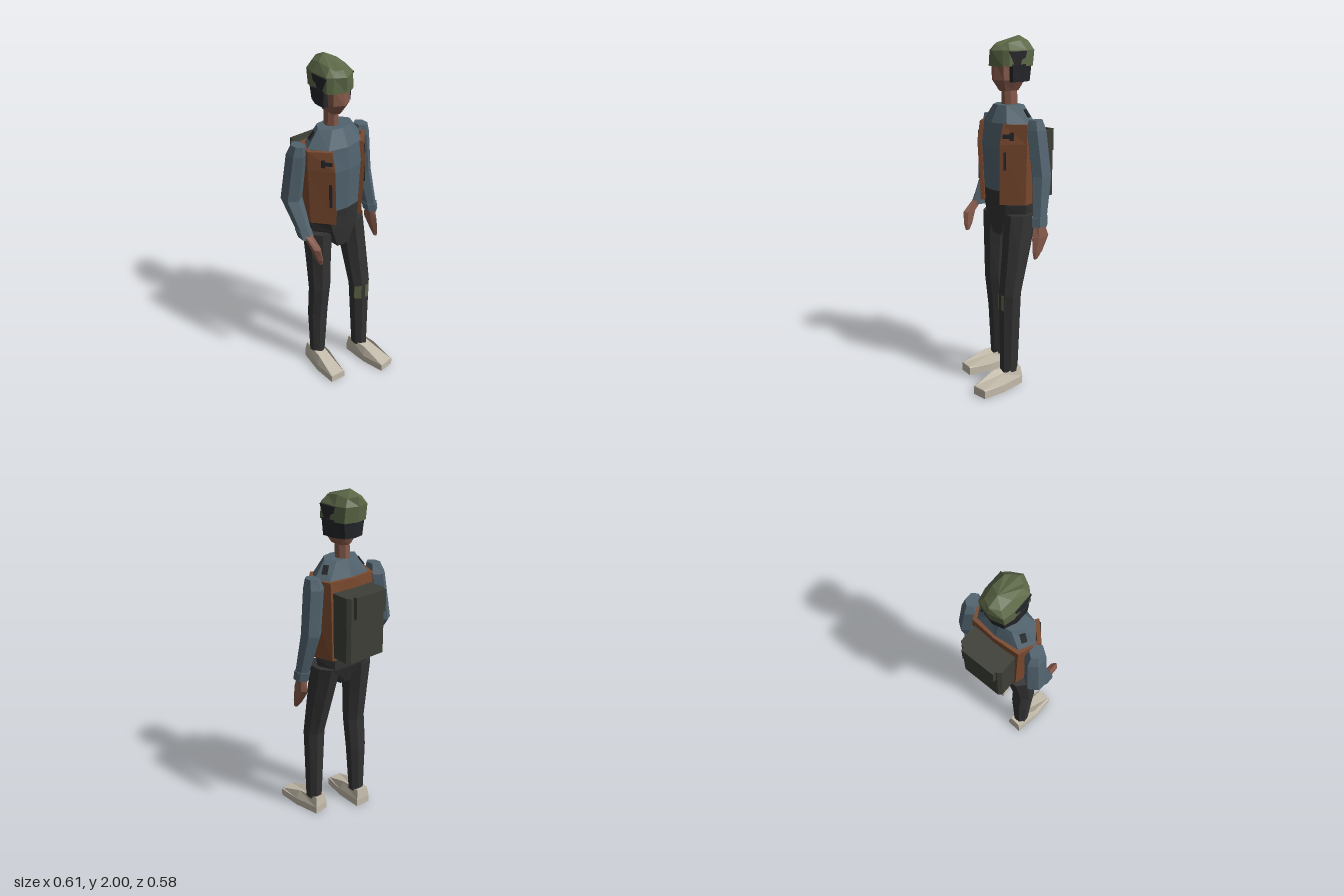
import * as THREE from 'three';
import { mergeGeometries } from 'three/addons/utils/BufferGeometryUtils.js';

const mat = (name, color) => {
  const m = new THREE.MeshStandardMaterial({ color });
  m.name = name;
  return m;
};

// Faceted skin through rings of [x, y, z], listed from bottom to top, with end caps
function loft(rings) {
  const p = [], n = rings[0].length;
  const tri = (a, b, c) => p.push(...a, ...b, ...c);
  for (let r = 0; r < rings.length - 1; r++) {
    const b = rings[r], t = rings[r + 1];
    for (let i = 0; i < n; i++) {
      const j = (i + 1) % n;
      tri(b[i], t[i], t[j]);
      tri(b[i], t[j], b[j]);
    }
  }
  const lo = rings[0], hi = rings[rings.length - 1];
  for (let i = 1; i < n - 1; i++) {
    tri(lo[0], lo[i], lo[i + 1]);
    tri(hi[0], hi[i + 1], hi[i]);
  }
  const g = new THREE.BufferGeometry();
  g.setAttribute('position', new THREE.Float32BufferAttribute(p, 3));
  g.computeVertexNormals();
  return g;
}

// Mirrored ring: half outline of [dx, z, own y], listed from back to front
function hull(cx, y, half) {
  const right = half.map(([x, z, h]) => [cx + x, h ?? y, z]);
  const left = half.filter(q => q[0] > 0).reverse().map(([x, z, h]) => [cx - x, h ?? y, z]);
  return [...right, ...left];
}

// Limb from [y, cx, cz, rx, rz] sections, flat face to the front
function limb(sections, n = 8) {
  const k = 1 / Math.cos(Math.PI / n);
  return loft(sections.map(([y, cx, cz, rx, rz]) => Array.from({ length: n }, (_, i) => {
    const a = (i + 0.5) / n * Math.PI * 2;
    return [cx + rx * k * Math.cos(a), y, cz + rz * k * Math.sin(a)];
  })));
}

export function createModel() {
  const model = new THREE.Group();
  const green = mat('capGreen', 0x5c6847), skin = mat('skin', 0x85594a),
    blue = mat('shirtBlue', 0x52646f), rust = mat('vestRust', 0x7a4a2f),
    dark = mat('trouserCharcoal', 0x343333), black = mat('trimBlack', 0x25262a),
    pack = mat('packOlive', 0x3d3f37), cream = mat('shoeCream', 0xc4bcab);
  const add = (name, geometry, material) => {
    const m = new THREE.Mesh(geometry, material);
    m.name = name;
    model.add(m);
    return m;
  };
  const plate = (name, material, size, pos, rot = [0, 0, 0]) => {
    const m = add(name, new THREE.BoxGeometry(...size), material);
    m.position.set(...pos);
    m.rotation.set(...rot);
  };
  const CX = -0.01, HX = -0.014;

  // Head, neck, hair and cap
  add('neck', limb([[1.6, -0.017, -0.055, 0.038, 0.044], [1.72, -0.017, -0.05, 0.036, 0.044]]), skin);
  add('head', loft([
    hull(HX, 1.7, [[0, -0.105], [0.03, -0.09], [0.036, -0.04], [0.03, 0], [0, 0.015]]),
    hull(HX, 1.76, [[0, -0.13], [0.06, -0.11], [0.07, -0.04], [0.055, 0.03], [0, 0.058]]),
    hull(HX, 1.85, [[0, -0.14], [0.07, -0.12], [0.08, -0.04], [0.055, 0.035], [0, 0.052]]),
  ]), skin);
  add('hair', loft([
    hull(HX, 1.75, [[0, -0.16], [0.06, -0.145], [0.088, -0.08], [0.09, -0.005]]),
    hull(HX, 1.845, [[0, -0.168], [0.07, -0.15], [0.096, -0.08], [0.096, 0]]),
  ]), black);
  add('cap', loft([
    hull(HX, 1.835, [[0, -0.175], [0.075, -0.155], [0.09, -0.1], [0.09, 0.02], [0.065, 0.045], [0, 0.07]]),
    hull(HX, 1.92, [[0, -0.185], [0.075, -0.165], [0.09, -0.1], [0.088, 0.015], [0.06, 0.042], [0, 0.075]]),
    hull(HX, 1.96, [[0, -0.178, 1.97], [0.05, -0.15], [0.058, -0.08, 1.972], [0.055, 0], [0.038, 0.025, 1.947], [0, 0.045, 1.952]]),
    hull(HX, 2, Array.from({ length: 6 }, (_, i) => [i % 5 ? 1e-4 : 0, -0.115])),
  ]), green);
  const patch = new THREE.ExtrudeGeometry(new THREE.Shape([
    [-0.02, 1.915], [0.02, 1.835], [0.055, 1.835], [0.065, 1.87], [0.09, 1.88], [0.1, 1.915],
  ].map(q => new THREE.Vector2(...q)).reverse()), { depth: 0.008, bevelEnabled: false });
  patch.rotateY(Math.PI / 2);
  for (const s of [1, -1]) add('capSidePatch', patch, black).position.x = HX + s * 0.089 - 0.004;

  // Shirt and trouser top
  const waist = [[0, -0.13], [0.11, -0.12], [0.155, -0.03], [0.1, 0.06], [0, 0.075]];
  add('shirt', loft([
    hull(CX, 1.15, waist),
    hull(CX, 1.4, [[0, -0.135], [0.13, -0.125], [0.172, -0.03], [0.11, 0.07], [0, 0.09]]),
    hull(CX, 1.53, [[0, -0.135], [0.135, -0.12], [0.18, -0.04], [0.11, 0.055], [0, 0.08]]),
    hull(CX, 1.625, [[0, -0.105], [0.07, -0.095], [0.11, -0.04], [0.06, 0.02], [0, 0.035]]),
  ]), blue);
  add('hips', loft([
    hull(CX, 0.89, [[0, -0.1], [0.036, -0.09], [0.045, -0.03], [0.04, 0.04], [0, 0.045]]),
    hull(CX, 1.01, [[0, -0.145], [0.12, -0.14], [0.16, -0.04], [0.085, 0.052], [0, 0.06]]),
    hull(CX, 1.07, [[0, -0.145], [0.12, -0.14], [0.17, -0.04], [0.1, 0.055], [0, 0.065]]),
    hull(CX, 1.15, waist),
  ]), dark);

  // Open vest: wall segments from the middle of the back to each front edge
  const levels = [
    [1.08, [[0, -0.15], [0.145, -0.15], [0.185, -0.02], [0.09, 0.09]]],
    [1.42, [[0, -0.15], [0.15, -0.145], [0.2, -0.015], [0.105, 0.1]]],
    [1.53, [[0, -0.15], [0.15, -0.14], [0.2, -0.015], [0.108, 0.08]]],
  ];
  const inset = [[0, 0.022], [-0.016, 0.02], [-0.024, -0.004], [-0.015, -0.017]];
  const walls = [];
  for (const s of [1, -1]) for (let i = 0; i < 3; i++) {
    walls.push(loft(levels.map(([y, o]) => {
      const out = k => [CX + s * o[k][0], y, o[k][1]];
      const inn = k => [CX + s * (o[k][0] + inset[k][0]), y, o[k][1] + inset[k][1]];
      const ring = [out(i), out(i + 1), inn(i + 1), inn(i)];
      return s > 0 ? ring : ring.reverse();
    })));
  }
  add('vest', mergeGeometries(walls), rust);

  // Dark trim on the vest and shoulders
  for (const s of [1, -1]) {
    plate('chestTab', black, [0.055, 0.022, 0.009], [CX + s * 0.13, 1.465, 0.064], [0, s * 0.86, 0]);
    plate('chestTabEnd', black, [0.022, 0.045, 0.009], [CX + s * 0.144, 1.465, 0.047], [0, s * 0.86, 0]);
    plate('shoulderTab', black, [0.009, 0.05, 0.03], [CX + s * 0.127, 1.582, -0.07], [0, s * 0.5, s * 0.635]);
  }
  plate('pocketSlit', black, [0.014, 0.1, 0.009], [0.11, 1.33, 0.077], [0, 0.86, 0]);
  plate('pocketSlit', black, [0.016, 0.14, 0.009], [-0.128, 1.27, 0.077], [0, -0.86, 0]);

  // Arms: the left hangs straight, the right bends forward
  add('leftSleeve', limb([
    [1.02, 0.266, -0.047, 0.031, 0.04], [1.25, 0.232, -0.085, 0.044, 0.055],
    [1.5, 0.2, -0.072, 0.045, 0.056], [1.555, 0.203, -0.065, 0.03, 0.04]], 6), blue);
  add('leftCuff', limb([[0.98, 0.271, -0.042, 0.034, 0.045], [1.03, 0.265, -0.048, 0.036, 0.047]], 6), blue);
  add('leftHand', limb([
    [0.8, 0.283, -0.005, 0.008, 0.01], [0.84, 0.282, -0.02, 0.014, 0.03],
    [0.92, 0.275, -0.045, 0.022, 0.05], [1, 0.268, -0.042, 0.02, 0.03]], 6), skin);
  add('rightSleeve', limb([
    [1.05, -0.249, -0.01, 0.033, 0.04], [1.23, -0.256, -0.108, 0.05, 0.056],
    [1.5, -0.23, -0.085, 0.045, 0.056], [1.555, -0.227, -0.075, 0.03, 0.04]], 6), blue);
  add('rightCuff', limb([[1.02, -0.247, 0.002, 0.036, 0.042], [1.065, -0.25, -0.02, 0.037, 0.044]], 6), blue);
  add('rightHand', limb([
    [0.875, -0.222, 0.1, 0.008, 0.012], [0.91, -0.228, 0.092, 0.016, 0.025],
    [0.98, -0.24, 0.075, 0.022, 0.037], [1.04, -0.247, 0.012, 0.022, 0.028]], 6), skin);

  // Legs, the left one stepping forward
  add('leftLeg', limb([
    [0.09, 0.115, 0.05, 0.044, 0.05], [0.56, 0.115, 0.042, 0.06, 0.06],
    [0.8, 0.108, -0.005, 0.069, 0.078], [1.02, 0.1, -0.045, 0.075, 0.095]]), dark);
  add('rightLeg', limb([
    [0.09, -0.134, -0.06, 0.044, 0.043], [0.4, -0.13, -0.055, 0.058, 0.055],
    [0.6, -0.128, -0.035, 0.062, 0.06], [0.8, -0.125, -0.045, 0.068, 0.075],
    [1, -0.12, -0.055, 0.08, 0.09]]), dark);
  plate('kneePatch', green, [0.045, 0.09, 0.009], [0.074, 0.515, 0.083], [0, -0.785, 0]);
  plate('kneePatch', green, [0.025, 0.09, 0.009], [0.126, 0.515, 0.1]);

  // Shoes: wedge with a high heel end and a low square toe
  const sole = [[0.046, -0.13], [0.06, 0.03], [0.047, 0.17]];
  const shoe = loft([
    hull(0, 0, sole),
    hull(0, 0.045, sole),
    hull(0, 0.1, [[0.036, -0.122, 0.108], [0.04, 0.02, 0.1], [0.038, 0.168, 0.05]]),
  ]);
  const leftShoe = add('leftShoe', shoe, cream);
  leftShoe.position.set(0.125, 0, 0.115);
  leftShoe.rotation.y = 0.12;
  const rightShoe = add('rightShoe', shoe, cream);
  rightShoe.position.set(-0.142, 0, 0);
  rightShoe.rotation.y = -0.08;

  // Backpack with flap
  const bag = [[0.118, -0.268], [0.136, -0.25], [0.136, -0.135]];
  add('backpack', loft([hull(CX, 1.1, bag), hull(CX, 1.472, bag)]), pack);
  plate('backpackFlap', pack, [0.21, 0.125, 0.026], [-0.015, 1.416, -0.277]);

  return model;
}
